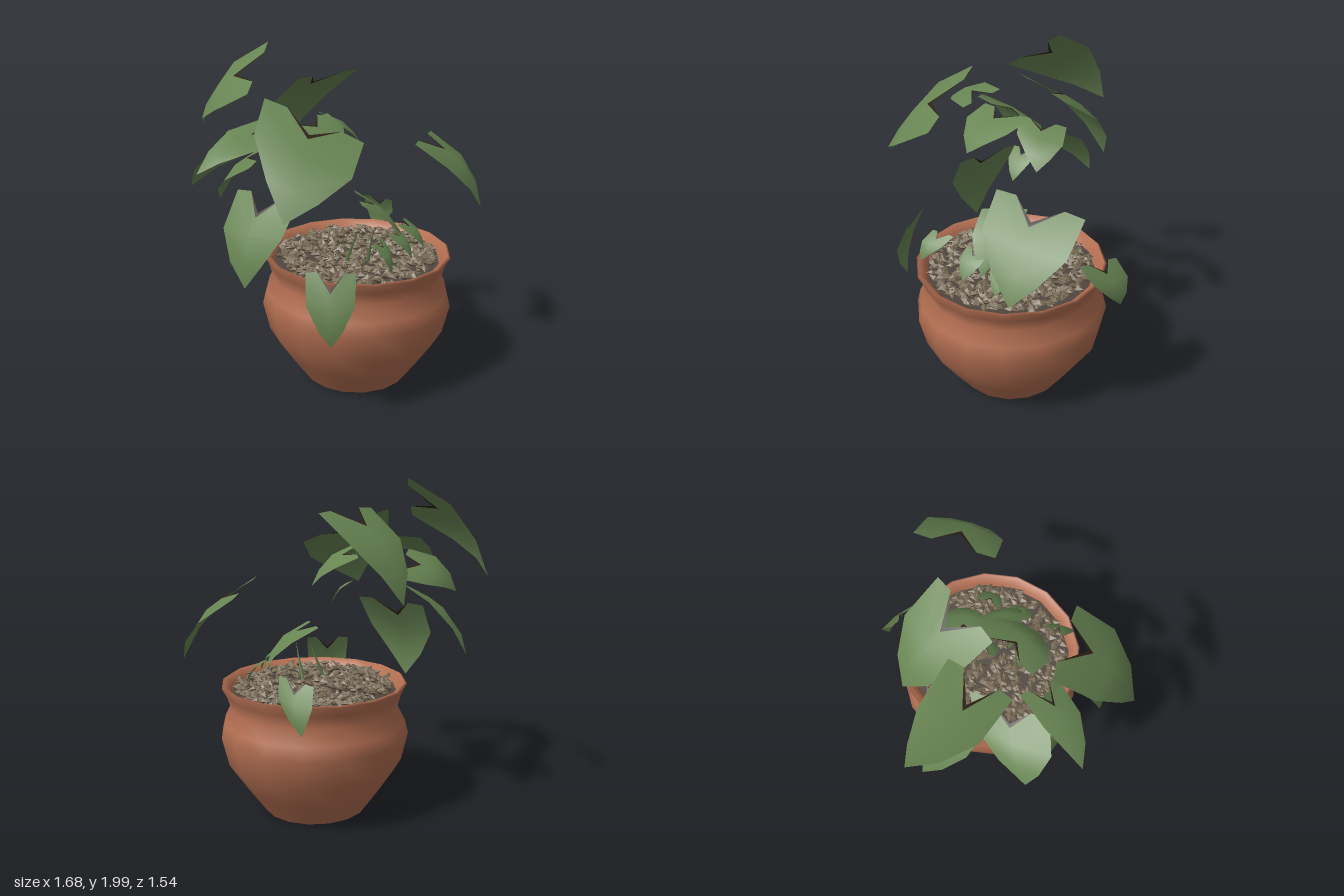
import * as THREE from 'three';
import { mergeGeometries } from 'three/addons/utils/BufferGeometryUtils.js';

const mat = (name, color, opts = {}) => {
  const m = new THREE.MeshStandardMaterial({ color, ...opts });
  m.name = name;
  return m;
};

// Heart-shaped leaf spanned by its two lobes and its tip, arched along its length
function leafGeometry(L, T, R) {
  const base = L.clone().lerp(R, 0.5);
  const axis = T.clone().sub(base), half = L.clone().sub(base);
  const up = new THREE.Vector3().crossVectors(axis, half).normalize();
  if (up.y < 0) up.negate();
  // t runs from the lobes to the tip, w from the midrib to the edges
  const at = (t, w) => base.clone().addScaledVector(axis, t).addScaledVector(half, w)
    .addScaledVector(up, 0.15 * axis.length() * Math.sin(Math.PI * Math.max(t, 0)) * (1 - 0.3 * Math.abs(w)));
  const points = [
    at(0.2, 0), at(0.25, 0), at(0.45, 0), at(0.75, 0), T,
    ...[1, -1].flatMap((s) => [at(-0.01, 0.55 * s), at(0, s), at(0.42, 0.95 * s), at(0.75, 0.5 * s)]),
  ];
  const blade = [], scar = [];
  for (const k of [5, 9]) {
    const tri = (list, a, b, c) => list.push(...(k === 5 ? [a, b, c] : [a, c, b]));
    tri(scar, 0, 1, k);
    tri(blade, 1, 2, k);
    tri(blade, k, 2, k + 1);
    tri(blade, k + 1, 2, k + 2);
    tri(blade, 2, 3, k + 2);
    tri(blade, k + 2, 3, k + 3);
    tri(blade, 3, 4, k + 3);
  }
  const geo = new THREE.BufferGeometry().setFromPoints(points);
  geo.setIndex([...blade, ...scar]);
  geo.addGroup(0, blade.length, 0);
  geo.addGroup(blade.length, scar.length, 1);
  geo.computeVertexNormals();
  return geo;
}

export function createModel() {
  const model = new THREE.Group();
  model.name = 'pottedPlant';
  const clay = mat('terracotta', 0xb26e51);
  const earth = mat('soil', 0x50463f);
  const stone = mat('gravel', 0x776a55, { flatShading: true });
  const green = mat('leaf green', 0x688553, { side: THREE.DoubleSide });
  const brown = mat('leaf scar brown', 0x2e2114, { side: THREE.DoubleSide });

  const add = (name, geo, material, parent) => {
    const m = new THREE.Mesh(geo, material);
    m.name = name;
    parent.add(m);
    return m;
  };

  // Pot with soil, standing slightly off centre
  const pot = new THREE.Group();
  pot.name = 'pot';
  pot.position.set(0.113, 0, 0.21);
  model.add(pot);
  const profile = [[0.31, 0], [0.425, 0.16], [0.525, 0.31], [0.565, 0.48], [0.545, 0.56],
    [0.5, 0.65], [0.525, 0.73], [0.555, 0.785], [0.54, 0.795], [0.5, 0.76], [0.475, 0.7]];
  add('potBody', new THREE.LatheGeometry(profile.map(([r, y]) => new THREE.Vector2(r, y)), 16), clay, pot);
  const disc = (name, radius, y, facing, material) => {
    const d = add(name, new THREE.CircleGeometry(radius, 16), material, pot);
    d.rotation.x = -facing * Math.PI / 2;
    d.position.y = y;
  };
  disc('potBase', 0.31, 0, -1, clay);
  disc('soilBed', 0.49, 0.745, 1, earth);

  // Loose gravel scattered over the soil
  let seed = 7;
  const rnd = () => (seed = (seed * 16807) % 2147483647) / 2147483647;
  const chips = [];
  for (let i = 0; i < 620; i++) {
    const r = 0.465 * Math.sqrt(rnd()), a = rnd() * Math.PI * 2;
    const g = new THREE.OctahedronGeometry(0.024 + rnd() * 0.01);
    g.scale(1.35, 0.55, 0.75);
    g.rotateZ((rnd() - 0.5) * 0.9);
    g.rotateY(rnd() * Math.PI * 2);
    g.translate(r * Math.cos(a), 0.755 + rnd() * 0.025, r * Math.sin(a));
    chips.push(g);
  }
  add('gravel', mergeGeometries(chips), stone, pot);

  // Large leaves: left lobe, tip, right lobe
  const foliage = new THREE.Group();
  foliage.name = 'foliage';
  model.add(foliage);
  const leaf = (name, ...corners) =>
    add(name, leafGeometry(...corners.map((c) => new THREE.Vector3(...c))), [green, brown], foliage);
  leaf('topBackLeaf', [-0.05, 1.99, -0.31], [-0.13, 1.46, -0.77], [-0.37, 1.75, -0.2]);
  leaf('upperBackLeaf', [-0.11, 1.81, -0.05], [0.22, 1.32, -0.42], [0.34, 1.81, 0.04]);
  leaf('lowerBackLeaf', [-0.29, 1.3, -0.27], [-0.12, 1, -0.66], [0, 1.42, -0.27]);
  leaf('backLeftLeaf', [-0.55, 1.52, -0.1], [-0.64, 1.26, -0.39], [-0.1, 1.41, -0.22]);
  leaf('farLeftLeaf', [-0.36, 1.62, -0.12], [-0.83, 1.41, -0.16], [-0.44, 1.54, 0.1]);
  leaf('bigLeftLeaf', [-0.46, 1.77, 0], [-0.79, 1.24, 0.38], [-0.25, 1.56, 0.49]);
  leaf('bigRightLeaf', [0.79, 1.39, 0.3], [0.69, 1, 0.72], [0.31, 1.43, 0.47]);
  leaf('rightRimLeaf', [0.61, 0.95, 0.14], [0.73, 0.67, -0.07], [0.65, 0.93, -0.1]);
  leaf('leftDroopingLeaf', [-0.39, 1.22, 0.17], [-0.57, 0.7, -0.08], [-0.39, 1.2, -0.27]);
  leaf('leftRimLeaf', [-0.42, 0.9, 0.57], [-0.55, 0.5, 0.5], [-0.56, 0.9, 0.34]);
  leaf('centreRightLeaf', [-0.03, 1.6, 0.02], [0.25, 1.39, 0.14], [0.2, 1.56, -0.13]);
  leaf('centreLeftLeaf', [-0.33, 1.58, 0.02], [-0.17, 1.4, 0.29], [0.06, 1.6, 0.03]);
  leaf('frontLeaf', [-0.01, 1.12, 0.32], [0.2, 0.84, 0.5], [0.18, 1.13, 0.14]);

  // Small leaves hang forward from a base point
  const smallLeaf = (name, x, y, z, lean) =>
    leaf(name, [x - 0.07, y, z + 0.02], [x + lean, y - 0.15, z + 0.13], [x + 0.07, y, z - 0.02]);
  smallLeaf('innerLeaf', 0, 1.4, 0, 0.04);
  smallLeaf('smallRightLeaf', 0.3, 0.95, 0.4, 0.05);
  smallLeaf('smallLeftLeaf', -0.13, 0.98, 0.51, -0.05);
  smallLeaf('smallFrontLeaf', 0.11, 0.96, 0.45, 0.02);

  // Young folded shoots
  for (const side of [-1, 1]) {
    const shoot = add('shoot', new THREE.ConeGeometry(0.014, 0.24, 3), green, foliage);
    shoot.position.set(side * 0.035, 0.88, 0.32 + side * 0.04);
    shoot.rotation.set(0.3, 0, side * 0.18);
  }
  return model;
}
